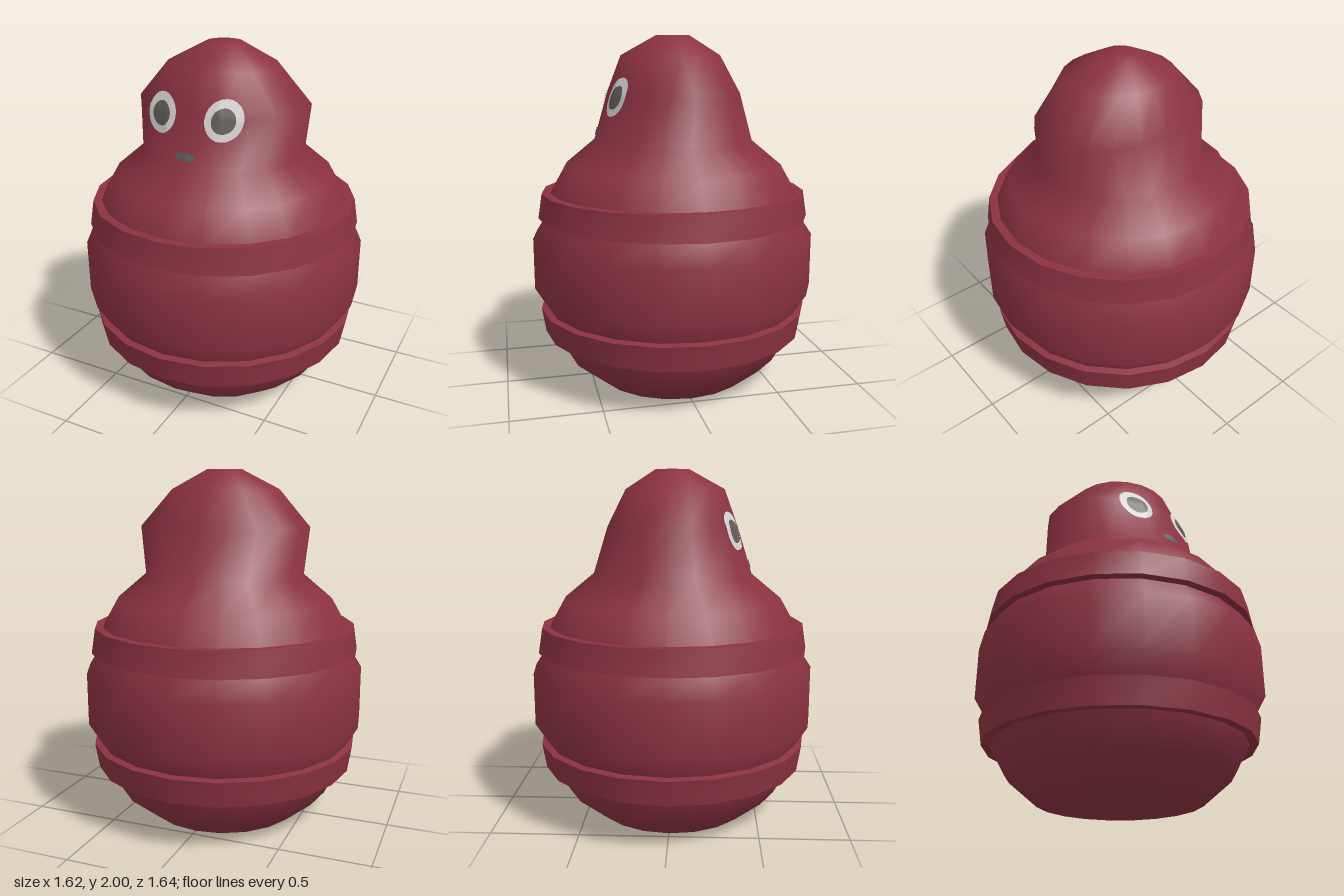
import * as THREE from 'three';

const SEG = 20;

// Smooth surface through stacked elliptical rings [y, radiusX, radiusZ, offsetZ]
function ringSurface(rings, closed) {
  const pos = [], index = [];
  for (const [y, rx, rz, oz = 0] of rings) {
    for (let i = 0; i < SEG; i++) {
      const a = (i / SEG) * Math.PI * 2;
      pos.push(rx * Math.sin(a), y, rz * Math.cos(a) + oz);
    }
  }
  for (let r = 0; r < rings.length - 1; r++) {
    for (let i = 0; i < SEG; i++) {
      const j = (i + 1) % SEG;
      const a = r * SEG + i, b = r * SEG + j, c = a + SEG, d = b + SEG;
      index.push(a, b, d, a, d, c);
    }
  }
  if (closed) {
    const bottom = pos.length / 3, top = bottom + 1, last = (rings.length - 1) * SEG;
    pos.push(0, rings[0][0], 0, 0, rings[rings.length - 1][0], 0);
    for (let i = 0; i < SEG; i++) {
      const j = (i + 1) % SEG;
      index.push(bottom, j, i, top, last + i, last + j);
    }
  }
  const g = new THREE.BufferGeometry();
  g.setAttribute('position', new THREE.Float32BufferAttribute(pos, 3));
  g.setIndex(index);
  g.computeVertexNormals();
  return g;
}

export function createModel() {
  const model = new THREE.Group();
  const mat = (name, color) => {
    const m = new THREE.MeshStandardMaterial({ color });
    m.name = name;
    return m;
  };
  const red = mat('dark red', 0x8c3242);
  const white = mat('eye white', 0xd8d4d2);
  const grey = mat('dark grey', 0x625d58);

  const add = (name, geometry, material) => {
    const mesh = new THREE.Mesh(geometry, material);
    mesh.name = name;
    model.add(mesh);
    return mesh;
  };

  // Barrel body flowing into a flattened head
  const body = add('bodyAndHead', ringSurface([
    [0, 0.46, 0.46], [0.14, 0.625, 0.63], [0.295, 0.71, 0.715], [0.45, 0.745, 0.75],
    [0.56, 0.81, 0.82], [0.86, 0.81, 0.82], [0.965, 0.745, 0.75], [1.12, 0.71, 0.715],
    [1.27, 0.625, 0.63], [1.41, 0.46, 0.46], [1.68, 0.5, 0.375], [1.89, 0.31, 0.283, 0.015],
    [2, 0.1, 0.097],
  ], true), red);

  // Raised bands; each strip is separate so the edges stay sharp
  const band = (name, profile) => {
    for (let i = 0; i < profile.length - 1; i++) {
      const strip = profile.slice(i, i + 2).map(([y, r]) => [y, r, r + 0.006]);
      add(name, ringSurface(strip, false), red);
    }
  };
  band('lowerBand', [[0.295, 0.69], [0.295, 0.757], [0.438, 0.78], [0.45, 0.725]]);
  band('upperBand', [[0.965, 0.725], [0.977, 0.78], [1.12, 0.757], [1.12, 0.69]]);

  // Face patches draped over the head
  body.updateMatrixWorld(true);
  const ray = new THREE.Raycaster();
  const drape = (name, material, x, y, inner, rx, ry, lift) => {
    const g = new THREE.RingGeometry(inner, 1, 24, 5);
    const p = g.attributes.position;
    for (let i = 0; i < p.count; i++) {
      const px = x + p.getX(i) * rx, py = y + p.getY(i) * ry;
      ray.set(new THREE.Vector3(px, py, 3), new THREE.Vector3(0, 0, -1));
      const hit = ray.intersectObject(body)[0];
      p.setXYZ(i, px, py, (hit ? hit.point.z : 0.3) + lift);
    }
    g.computeVertexNormals();
    add(name, g, material);
  };
  for (const [side, x] of [['right', -0.197], ['left', 0.173]]) {
    drape(side + 'EyeWhite', white, x, 1.665, 0.58, 0.1, 0.105, 0.006);
    drape(side + 'Pupil', grey, x, 1.662, 0.001, 0.063, 0.063, 0.008);
  }
  drape('mouth', grey, -0.01, 1.47, 0.001, 0.061, 0.022, 0.006);

  return model;
}
